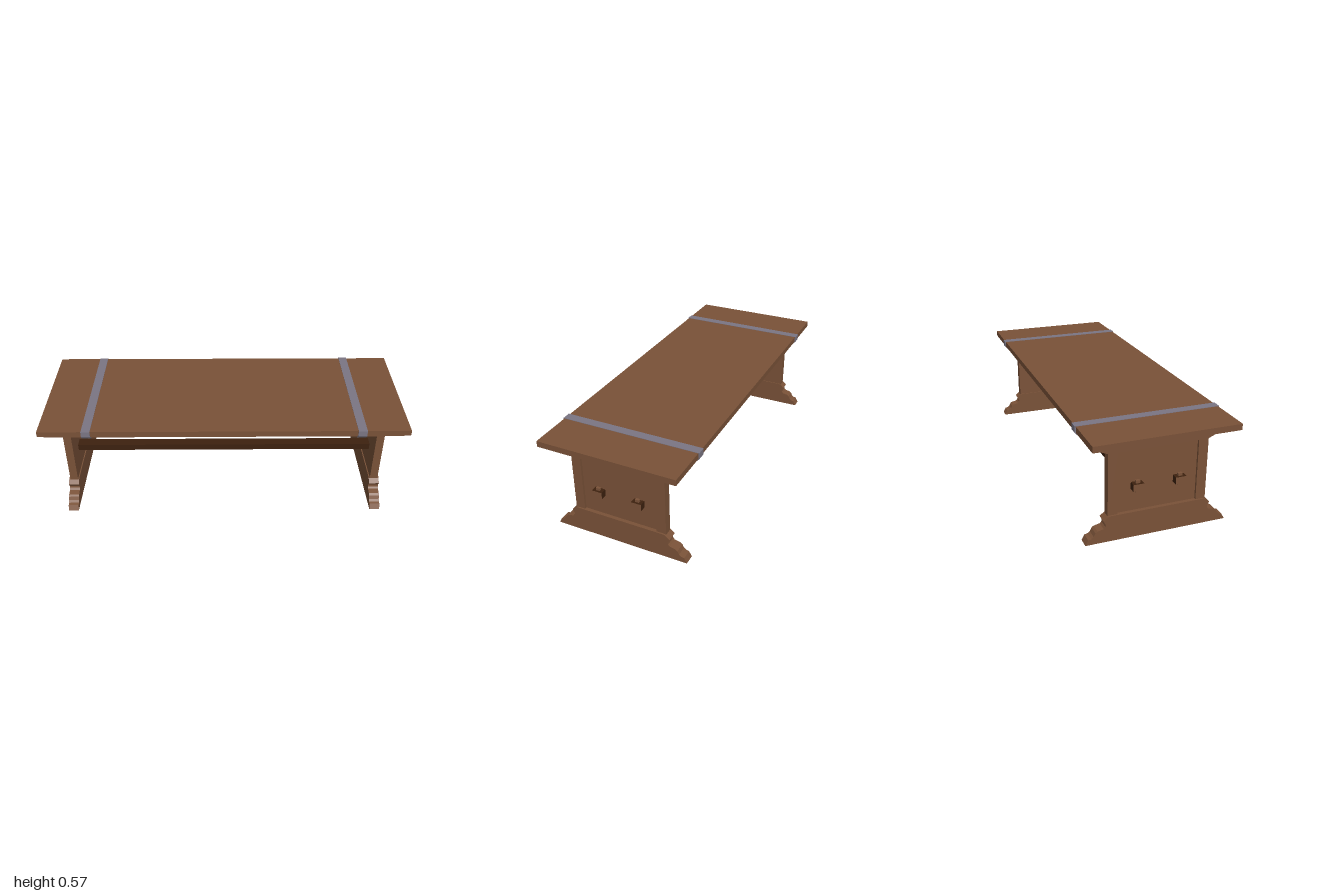
import * as THREE from 'three';

const material = (name, color) => {
  const m = new THREE.MeshStandardMaterial({ color });
  m.name = name;
  return m;
};

// Symmetric outline from half-profile points [z, y], listed bottom to top.
function mirroredShape(half) {
  const right = half.map(([z, y]) => new THREE.Vector2(z, y));
  const left = half.map(([z, y]) => new THREE.Vector2(-z, y)).reverse();
  return new THREE.Shape([...right, ...left]);
}

// Extrude a z-y outline along x, from x0 to x1.
function slab(shape, x0, x1) {
  const g = new THREE.ExtrudeGeometry(shape, { depth: x1 - x0, bevelEnabled: false });
  g.rotateY(Math.PI / 2);
  g.translate(x0, 0, 0);
  return g;
}

export function createModel() {
  const wood = material('wood', 0x7a5238);
  const darkWood = material('dark wood', 0x3d210f);
  const iron = material('iron', 0x7b7684);

  const model = new THREE.Group();
  model.name = 'trestleTable';
  const add = (parent, name, geometry, mat, x = 0, y = 0, z = 0) => {
    const mesh = new THREE.Mesh(geometry, mat);
    mesh.name = name;
    mesh.position.set(x, y, z);
    parent.add(mesh);
    return mesh;
  };

  // Table top with a stepped lip underneath
  add(model, 'tableTop', new THREE.BoxGeometry(2, 0.032, 0.755), wood, 0, 0.555);
  add(model, 'underLip', new THREE.BoxGeometry(1.94, 0.015, 0.725), wood, 0, 0.532);

  // Iron straps wrapped around the top, chamfered along the lower edges
  const strapShape = mirroredShape([[0.362, 0.517], [0.383, 0.539], [0.383, 0.573]]);
  for (const x of [-0.74, 0.74]) {
    add(model, 'ironStrap', slab(strapShape, -0.024, 0.024), iron, x);
  }

  // Leg outlines: board with corbels, and a scrolled foot
  const boardHalf = [[0.262, 0.12], [0.262, 0.47], [0.297, 0.485], [0.307, 0.527]];
  const footHalf = [
    [0.379, 0], [0.364, 0.028], [0.348, 0.032], [0.336, 0.041], [0.327, 0.06],
    [0.317, 0.068], [0.285, 0.075], [0.276, 0.085], [0.274, 0.097],
    [0.285, 0.117], [0.262, 0.136], [0.25, 0.14],
  ];
  const frame = mirroredShape(boardHalf);
  frame.holes.push(new THREE.Path([
    new THREE.Vector2(-0.21, 0.13), new THREE.Vector2(-0.21, 0.47),
    new THREE.Vector2(0.21, 0.47), new THREE.Vector2(0.21, 0.13),
  ]));
  const boardGeometry = slab(mirroredShape(boardHalf), 0.853, 0.885);
  const frameGeometry = slab(frame, 0.885, 0.897);
  const footGeometry = slab(mirroredShape(footHalf), 0.847, 0.905);

  for (const side of [1, -1]) {
    const leg = new THREE.Group();
    leg.name = side > 0 ? 'leftLeg' : 'rightLeg';
    leg.rotation.y = side > 0 ? 0 : Math.PI;
    leg.position.z = -0.003;
    add(leg, 'legBoard', boardGeometry, wood);
    add(leg, 'panelFrame', frameGeometry, wood); // leaves a recessed panel outside
    add(leg, 'foot', footGeometry, wood);
    // Upright wedges locking the stretcher ends
    for (const z of [-0.112, 0.112]) {
      add(leg, 'wedge', new THREE.BoxGeometry(0.014, 0.062, 0.022), wood, 0.902, 0.28, z);
    }
    model.add(leg);
  }

  // Two long stretchers through both legs, with plain wood end grain
  const stretcherMaterials = [wood, wood, darkWood, darkWood, darkWood, darkWood];
  for (const z of [-0.115, 0.109]) {
    add(model, 'stretcher', new THREE.BoxGeometry(1.84, 0.037, 0.056), stretcherMaterials, 0, 0.278, z);
  }

  return model;
}
